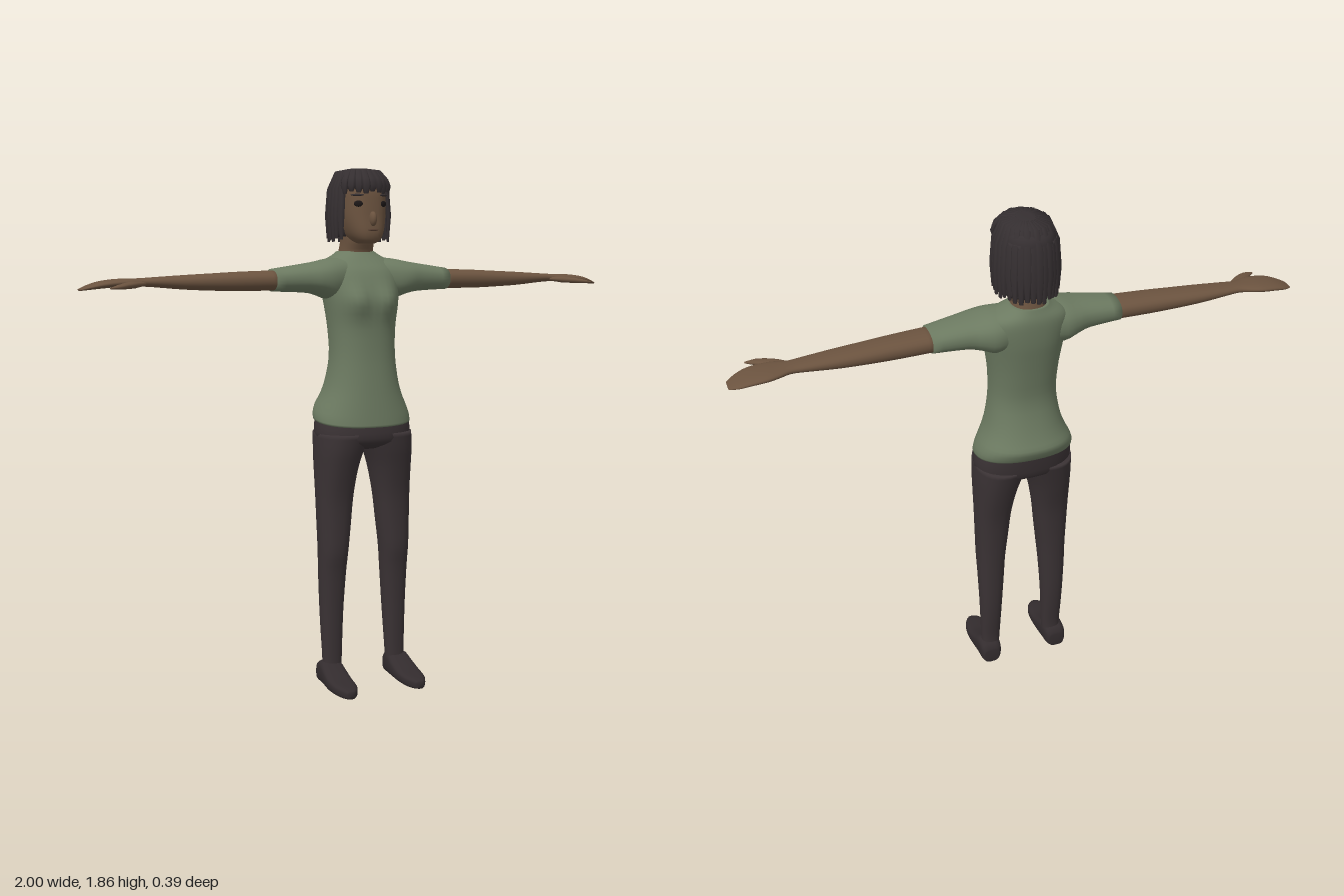
import * as THREE from 'three';

const mat = (name, color, side = THREE.FrontSide) => {
  const m = new THREE.MeshStandardMaterial({ color, side });
  m.name = name;
  return m;
};

// Skin a list of equal-sized vertex rings and close both ends
function skin(rings) {
  const n = rings[0].length, pos = [], idx = [];
  rings.forEach(r => r.forEach(p => pos.push(p.x, p.y, p.z)));
  for (let i = 0; i < rings.length - 1; i++)
    for (let j = 0; j < n; j++) {
      const a = i * n + j, b = i * n + (j + 1) % n;
      idx.push(a, b, a + n, b, b + n, a + n);
    }
  [0, rings.length - 1].forEach(i => {
    const c = rings[i].reduce((s, p) => s.add(p), new THREE.Vector3()).divideScalar(n);
    const k = pos.length / 3;
    pos.push(c.x, c.y, c.z);
    for (let j = 0; j < n; j++) {
      const a = i * n + j, b = i * n + (j + 1) % n;
      if (i) idx.push(a, b, k); else idx.push(b, a, k);
    }
  });
  const g = new THREE.BufferGeometry();
  g.setAttribute('position', new THREE.Float32BufferAttribute(pos, 3));
  g.setIndex(idx);
  g.computeVertexNormals();
  return g;
}

// Smooth loft of rows [a, u0, u1, v0, v1]; (a,u,v) is xyz, yzx or zxy
function loft(axis, rows, { n = 28, e = 2.3, steps = 3, rule = null } = {}) {
  const fine = [];
  for (let i = 0; i < rows.length - 1; i++)
    for (let s = 0; s < steps; s++) {
      const t = s / steps, p = k => rows[Math.max(0, Math.min(rows.length - 1, k))];
      fine.push(rows[i].map((b, q) => {
        const a = p(i - 1)[q], c = p(i + 1)[q], d = p(i + 2)[q];
        return b + 0.5 * t * (c - a + t * (2 * a - 5 * b + 4 * c - d + t * (3 * (b - c) + d - a)));
      }));
    }
  fine.push(rows[rows.length - 1]);
  const pw = c => Math.sign(c) * Math.abs(c) ** (2 / e);
  return skin(fine.map(([a, u0, u1, v0, v1]) => Array.from({ length: n }, (_, j) => {
    const th = j / n * Math.PI * 2;
    const u = (u0 + u1) / 2 + (u1 - u0) / 2 * pw(Math.cos(th));
    const v = (v0 + v1) / 2 + (v1 - v0) / 2 * pw(Math.sin(th));
    const p = axis === 'x' ? new THREE.Vector3(a, u, v)
      : axis === 'y' ? new THREE.Vector3(v, a, u) : new THREE.Vector3(u, v, a);
    if (rule) rule(p);
    return p;
  })));
}

// Upright symmetric loft of rows [y, back z, front z, half width]
const column = (rows, o) => loft('y', rows.map(([y, b, f, h]) => [y, b, f, -h, h]), o);

// Tapered lock along points; widths lie along the side vector
function lock(points, side, widths, thick, n = 6) {
  return skin(points.map((p, i) => {
    const a = points[Math.min(i + 1, points.length - 1)].clone().sub(points[Math.max(i - 1, 0)]).normalize();
    const v = a.cross(side).normalize();
    return Array.from({ length: n }, (_, j) => {
      const th = j / n * Math.PI * 2;
      return p.clone().addScaledVector(side, Math.cos(th) * widths[i])
        .addScaledVector(v, Math.sin(th) * thick * Math.min(1, widths[i] / widths[1]));
    });
  }));
}

// Mirrored copy across x = 0 with corrected winding
function mirror(geo) {
  const g = geo.clone().scale(-1, 1, 1), ix = g.index.array;
  for (let i = 0; i < ix.length; i += 3) [ix[i], ix[i + 1]] = [ix[i + 1], ix[i]];
  g.computeVertexNormals();
  return g;
}

export function createModel() {
  const root = new THREE.Group();
  const skinMat = mat('skin', 0x6b533f), shirt = mat('shirt green', 0x6c7a61);
  const pants = mat('trouser charcoal', 0x3a3234), shoe = mat('shoe dark', 0x332c2e);
  const hair = mat('hair dark', 0x352f31), dark = mat('eye dark', 0x1c1717), lip = mat('lip', 0x5a4234);
  const add = (name, geo, m, parent = root) => {
    const mesh = new THREE.Mesh(geo, m);
    mesh.name = name;
    parent.add(mesh);
    return mesh;
  };
  const pair = (name, geo, m) => {
    add('left' + name, geo, m);
    add('right' + name, mirror(geo), m);
  };

  // Shirt body: bust bulge and a hem that rises toward the back
  add('shirtBody', column([
    [0.955, -0.157, 0.107, 0.178], [0.985, -0.168, 0.104, 0.176], [1.03, -0.174, 0.099, 0.162],
    [1.1, -0.148, 0.091, 0.135], [1.2, -0.125, 0.081, 0.119], [1.3, -0.135, 0.079, 0.121],
    [1.38, -0.148, 0.082, 0.131], [1.44, -0.158, 0.073, 0.14], [1.5, -0.162, 0.05, 0.148],
    [1.535, -0.16, 0.02, 0.13], [1.56, -0.152, -0.003, 0.085], [1.574, -0.147, -0.015, 0.065],
  ], {
    n: 40, rule: p => {
      if (p.z > 0) p.z += 0.026 * Math.exp(-(((Math.abs(p.x) - 0.06) / 0.045) ** 2) - ((p.y - 1.4) / 0.05) ** 2);
      if (p.y < 1.05) p.y += 0.035 * (0.11 - p.z) / 0.27 * (1.05 - p.y) / 0.095;
    },
  }), shirt);
  pair('Sleeve', loft('x', [
    [0.05, 1.42, 1.553, -0.135, 0.025], [0.12, 1.405, 1.549, -0.145, 0.047], [0.17, 1.42, 1.539, -0.133, 0.05],
    [0.22, 1.43, 1.531, -0.118, 0.04], [0.335, 1.435, 1.514, -0.104, 0.023],
  ]), shirt);

  // Arms, hands and thumbs
  pair('Arm', loft('x', [
    [0.31, 1.439, 1.509, -0.1, 0.02], [0.45, 1.438, 1.505, -0.1, 0.012], [0.55, 1.441, 1.5, -0.1, 0.005],
    [0.65, 1.446, 1.495, -0.098, -0.003], [0.75, 1.455, 1.489, -0.092, -0.015], [0.8, 1.458, 1.486, -0.09, -0.02],
    [0.84, 1.458, 1.485, -0.105, -0.006], [0.88, 1.457, 1.484, -0.116, -0.002], [0.93, 1.453, 1.478, -0.114, -0.003],
    [0.97, 1.449, 1.466, -0.107, -0.016], [1.0, 1.446, 1.453, -0.088, -0.036],
  ]), skinMat);
  const thumbPath = [[0.79, -0.035], [0.835, -0.005], [0.87, 0.025], [0.895, 0.043], [0.922, 0.054]];
  pair('Thumb', lock(thumbPath.map(([x, z], i) => new THREE.Vector3(x, 1.468 - i * 0.003, z)),
    new THREE.Vector3(0.6, 0, -0.8), [0.014, 0.024, 0.02, 0.015, 0.005], 0.012, 10), skinMat);

  // Trousers
  add('hips', column([
    [0.872, -0.08, 0.05, 0.05], [0.9, -0.134, 0.1, 0.165], [0.95, -0.15, 0.104, 0.177], [1.0, -0.158, 0.095, 0.165],
  ]), pants);
  pair('Leg', loft('y', [
    [0.03, -0.043, 0.02, 0.095, 0.16], [0.1, -0.04, 0.02, 0.09, 0.162], [0.2, -0.053, 0.023, 0.086, 0.165],
    [0.3, -0.062, 0.027, 0.081, 0.168], [0.42, -0.066, 0.036, 0.073, 0.172], [0.5, -0.069, 0.049, 0.067, 0.174],
    [0.6, -0.075, 0.05, 0.056, 0.177], [0.7, -0.086, 0.055, 0.046, 0.179], [0.8, -0.11, 0.075, 0.03, 0.18],
    [0.87, -0.128, 0.092, 0.01, 0.18], [0.93, -0.143, 0.101, -0.01, 0.177],
  ]), pants);

  // Shoes
  pair('Shoe', loft('z', [
    [-0.06, 0.108, 0.165, 0, 0.055], [-0.045, 0.095, 0.175, 0, 0.08], [0, 0.09, 0.178, 0, 0.088],
    [0.04, 0.088, 0.181, 0, 0.07], [0.09, 0.088, 0.183, 0, 0.05], [0.14, 0.092, 0.178, 0, 0.042],
    [0.175, 0.105, 0.165, 0, 0.037], [0.195, 0.122, 0.15, 0.003, 0.028],
  ], { e: 3.2, n: 24 }), shoe);

  // Neck and head
  add('neck', column([
    [1.53, -0.148, -0.005, 0.068], [1.57, -0.143, -0.012, 0.06], [1.61, -0.135, 0.005, 0.056], [1.66, -0.13, 0.01, 0.056],
  ]), skinMat);
  add('head', column([
    [1.6, -0.03, 0.055, 0.022], [1.612, -0.06, 0.07, 0.044], [1.64, -0.1, 0.077, 0.062], [1.69, -0.14, 0.072, 0.076],
    [1.74, -0.16, 0.068, 0.08], [1.79, -0.165, 0.06, 0.08], [1.83, -0.14, 0.03, 0.065], [1.85, -0.1, 0, 0.03],
  ], { e: 2.6, n: 32 }), skinMat);

  // Face details
  const face = new THREE.Group();
  face.name = 'face';
  root.add(face);
  const blob = (name, m, [x, y, z], [sx, sy, sz], ry = 0) => {
    const b = add(name, new THREE.SphereGeometry(1, 16, 12), m, face);
    b.position.set(x, y, z);
    b.scale.set(sx, sy, sz);
    b.rotation.y = ry;
  };
  blob('nose', skinMat, [0, 1.686, 0.073], [0.013, 0.026, 0.021]);
  blob('mouth', lip, [0, 1.648, 0.076], [0.02, 0.004, 0.004]);
  for (const s of [-1, 1]) {
    blob('eye', dark, [s * 0.048, 1.738, 0.056], [0.016, 0.011, 0.005], s * 0.6);
    blob('eyebrow', hair, [s * 0.05, 1.768, 0.052], [0.024, 0.004, 0.005], s * 0.62);
  }

  // Hair: crown, back mass, then overlapping locks and a fringe
  const hairGroup = new THREE.Group();
  hairGroup.name = 'hair';
  root.add(hairGroup);
  add('hairCrown', column([
    [1.79, -0.176, 0.068, 0.093], [1.82, -0.17, 0.058, 0.088], [1.843, -0.148, 0.042, 0.074],
    [1.857, -0.115, 0.018, 0.05], [1.862, -0.08, -0.01, 0.02],
  ]), hair, hairGroup);
  add('hairBack', column([
    [1.625, -0.17, -0.03, 0.09], [1.66, -0.176, -0.008, 0.095], [1.73, -0.178, 0.002, 0.096], [1.81, -0.17, 0.01, 0.088],
  ]), hair, hairGroup);
  const hairLock = (name, deg, heights, w, lift) => {
    const f = deg * Math.PI / 180, sx = Math.sin(f), cz = Math.cos(f);
    const reach = [0.3, 0.72, 0.97, 1.04, 1.02];
    const pts = heights.map((y, i) => new THREE.Vector3(
      sx * 0.1 * (reach[i] + lift), y, -0.055 + cz * 0.122 * (reach[i] + lift)));
    const side = new THREE.Vector3(cz * 0.1, 0, -sx * 0.122).normalize();
    add(name, lock(pts, side, [w * 0.4, w * 0.85, w, w, w * 0.45], 0.009), hair, hairGroup);
  };
  for (let i = 0; i < 23; i++)
    hairLock('hairLock', 62 + i * 236 / 22, [1.859, 1.848, 1.79, 1.7, 1.607 + 0.012 * (i * 7 % 4) / 3], 0.017, 0.025 * (i % 2));
  for (let i = 0; i < 9; i++)
    hairLock('fringeLock', -54 + i * 13.5, [1.859, 1.849, 1.82, 1.8, 1.772 + 0.008 * (i * 5 % 3) / 2], 0.017, 0.03 * (i % 2));

  return root;
}
